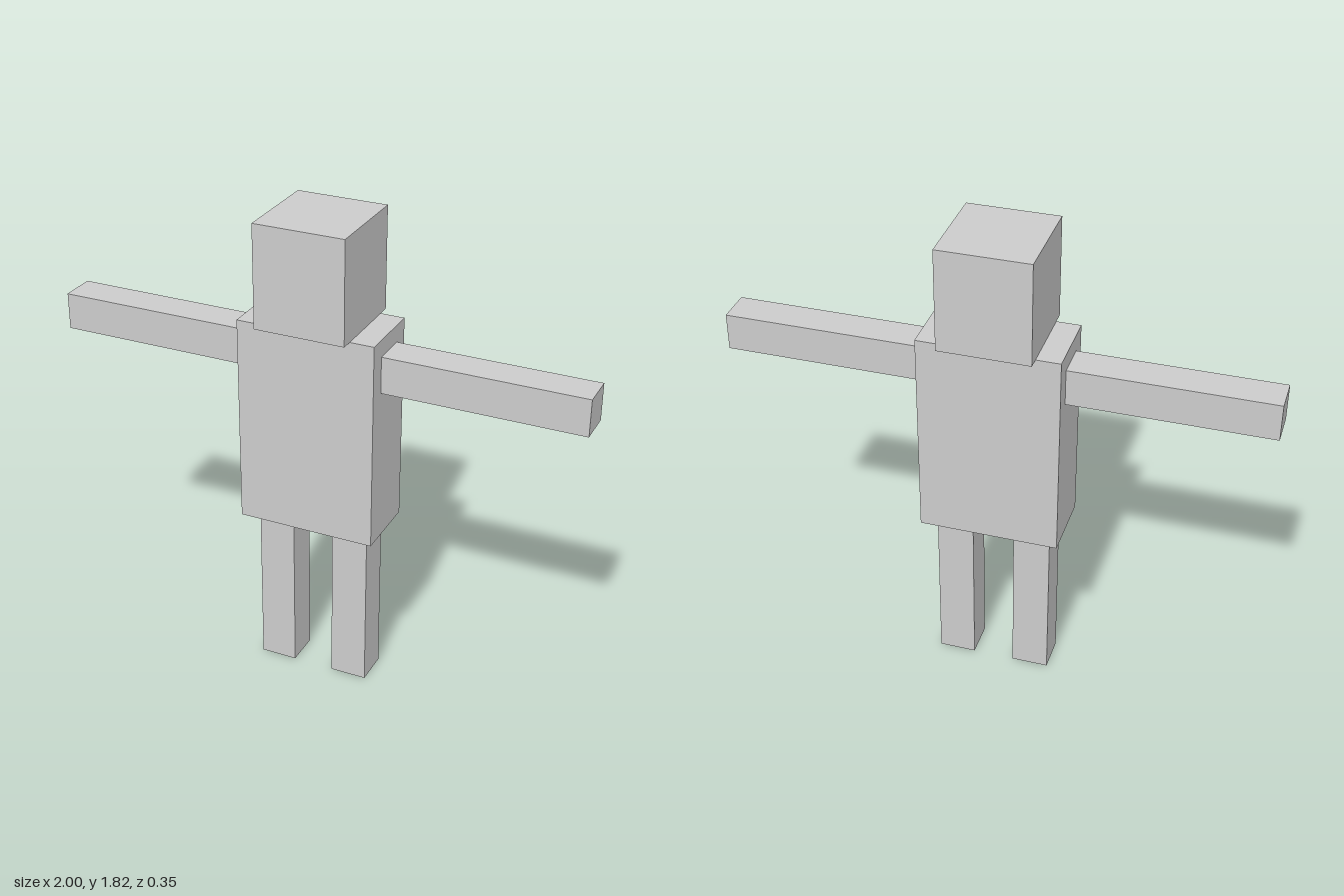
import * as THREE from 'three';

export function createModel() {
  const figure = new THREE.Group();
  figure.name = 'blockFigure';
  const material = new THREE.MeshStandardMaterial({ color: 0xcccccc, flatShading: true });

  // Adds a box spanning [x0, x1] and [y0, y1], centred on z = 0
  function addBlock(name, x0, x1, y0, y1, depth) {
    const mesh = new THREE.Mesh(new THREE.BoxGeometry(x1 - x0, y1 - y0, depth), material);
    mesh.position.set((x0 + x1) / 2, (y0 + y1) / 2, 0);
    mesh.name = name;
    figure.add(mesh);
    return mesh;
  }

  const hipY = 0.645, neckY = 1.433, torsoHalf = 0.26, limb = 0.138;

  addBlock('torso', -torsoHalf, torsoHalf, hipY, neckY, 0.264);
  addBlock('head', -0.17, 0.17, neckY, 1.818, 0.352);

  // Mirrored limbs: arms stretched sideways, legs straight down
  for (const [side, s] of [['left', 1], ['right', -1]]) {
    addBlock(side + 'Arm', torsoHalf, 1, 1.23, 1.23 + limb, limb - 0.004).position.x *= s;
    addBlock(side + 'Leg', 0.078, 0.078 + limb, 0, hipY, limb - 0.004).position.x *= s;
  }

  return figure;
}
